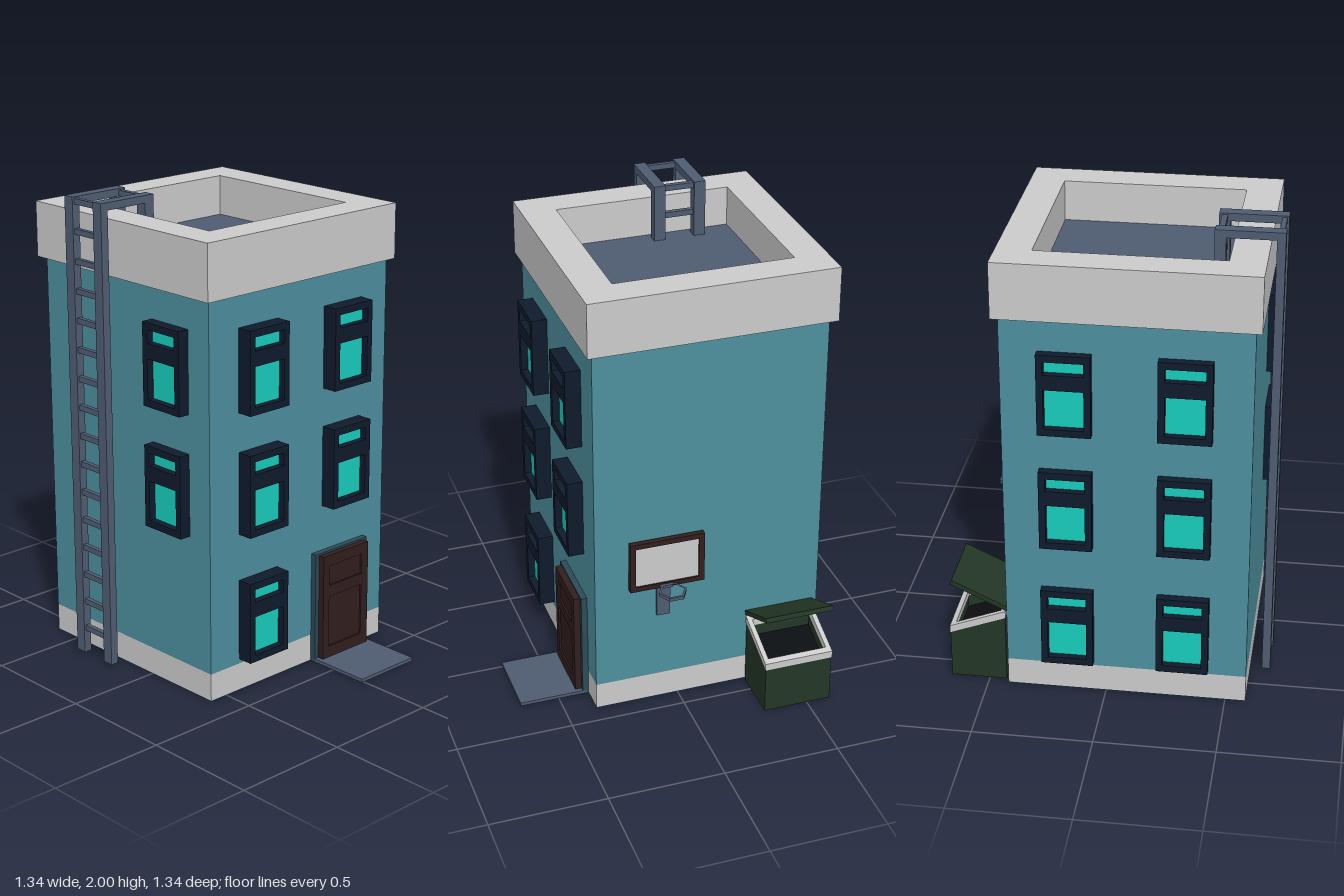
import * as THREE from 'three';

const paint = (color, side = THREE.FrontSide) => new THREE.MeshStandardMaterial({ color, flatShading: true, side });
const mats = {
  grey: paint(0xcccccc), wall: paint(0x4d8f9e), slate: paint(0x4f5d72), navy: paint(0x0f1a2c),
  glass: paint(0x18cdbd), brown: paint(0x321e1e), jamb: paint(0x2b4a58), green: paint(0x233625), black: paint(0x0b0e10),
};

function add(parent, name, geometry, mat) {
  const mesh = new THREE.Mesh(geometry, mats[mat]);
  mesh.name = name;
  parent.add(mesh);
  return mesh;
}

function group(parent, name) {
  const g = new THREE.Group();
  g.name = name;
  parent.add(g);
  return g;
}

// Box given by its limits on each axis
function block(parent, name, mat, [x0, x1], [y0, y1], [z0, z1]) {
  const geo = new THREE.BoxGeometry(x1 - x0, y1 - y0, z1 - z0);
  geo.translate((x0 + x1) / 2, (y0 + y1) / 2, (z0 + z1) / 2);
  return add(parent, name, geo, mat);
}

const rect = (target, x0, x1, y0, y1) =>
  target.moveTo(x0, y0).lineTo(x1, y0).lineTo(x1, y1).lineTo(x0, y1).closePath();

// Flat panel with rectangular holes, extruded from z = 0 to z = depth
function frame(outer, holes, depth) {
  const shape = rect(new THREE.Shape(), ...outer);
  holes.forEach((h) => shape.holes.push(rect(new THREE.Path(), ...h)));
  return new THREE.ExtrudeGeometry(shape, { depth, bevelEnabled: false });
}

// Side profile in x/y, extruded between two z limits
function profile(points, z0, z1) {
  const shape = new THREE.Shape(points.map(([x, y]) => new THREE.Vector2(x, y)));
  return new THREE.ExtrudeGeometry(shape, { depth: z1 - z0, bevelEnabled: false }).translate(0, 0, z0);
}

// Window with two recessed panes, origin at its bottom centre on the wall
function addWindow(parent, x, y, z, turn, depth) {
  const w = group(parent, 'window');
  add(w, 'windowFrame', frame([-0.1075, 0.1075, 0, 0.35],
    [[-0.08, 0.08, 0.03, 0.2], [-0.08, 0.08, 0.265, 0.32]], depth), 'navy');
  block(w, 'windowPane', 'glass', [-0.09, 0.09], [0.02, 0.33], [0, depth - 0.03]);
  w.position.set(x, y, z);
  w.rotation.y = turn;
}

function addBuilding(root) {
  const b = group(root, 'building');
  const wx = [-0.585, 0.415], wz = [-0.632, 0.366];
  block(b, 'walls', 'wall', wx, [0.12, 1.7], wz);
  block(b, 'plinth', 'grey', wx, [0.003, 0.12], wz);
  block(b, 'underside', 'wall', wx, [0, 0.003], wz);
  const parapet = frame([-0.61, 0.44, -0.39, 0.662], [[-0.465, 0.295, -0.242, 0.52]], 0.235);
  add(b, 'parapet', parapet.rotateX(-Math.PI / 2).translate(0, 1.692, 0), 'grey');
  block(b, 'roofFloor', 'slate', [-0.5, 0.33], [1.7, 1.755], [-0.55, 0.28]);

  // Windows: front skips the doorway, back has all six, right side has two
  [0.14, 0.69, 1.205].forEach((y, row) => {
    [-0.32, 0.157].forEach((x, col) => {
      if (row > 0 || col === 0) addWindow(b, x, y, 0.366, 0, 0.067);
      addWindow(b, x, y, -0.632, Math.PI, 0.038);
    });
    if (row > 0) addWindow(b, -0.585, y, 0.138, -Math.PI / 2, 0.05);
  });
}

function addDoor(root) {
  const d = group(root, 'entrance');
  block(d, 'doorFrame', 'jamb', [-0.01, 0.3], [0.005, 0.49], [0.36, 0.392]);
  const leaf = frame([0.01, 0.28, 0.015, 0.482], [[0.045, 0.24, 0.065, 0.295], [0.045, 0.24, 0.345, 0.435]], 0.03);
  add(d, 'doorLeaf', leaf.translate(0, 0, 0.39), 'brown');
  block(d, 'doorPanels', 'brown', [0.03, 0.26], [0.05, 0.45], [0.385, 0.412]);
  block(d, 'doorstep', 'slate', [-0.01, 0.3], [0, 0.015], [0.366, 0.67]);
}

function addLadder(root) {
  const l = group(root, 'ladder');
  for (const z of [[-0.395, -0.345], [-0.217, -0.167]]) {
    block(l, 'ladderRail', 'slate', [-0.67, -0.635], [0.01, 1.97], z);
    block(l, 'ladderTopBar', 'slate', [-0.67, -0.395], [1.968, 2], z);
    block(l, 'ladderRoofPost', 'slate', [-0.44, -0.395], [1.75, 1.97], z);
  }
  const rz = [-0.35, -0.21];
  for (let i = 0; i < 16; i++) {
    const y = 0.122 + i * 0.124;
    block(l, 'ladderRung', 'slate', [-0.662, -0.642], [y - 0.012, y + 0.012], rz);
  }
  for (const y of [1.86, 1.982]) block(l, 'roofRung', 'slate', [-0.43, -0.407], [y - 0.012, y + 0.012], rz);
}

function addHoop(root) {
  const h = group(root, 'basketballHoop');
  const board = frame([-0.225, 0.1, 0.585, 0.815], [[-0.2, 0.075, 0.607, 0.792]], 0.025);
  add(h, 'backboardFrame', board.rotateY(Math.PI / 2).translate(0.432, 0, 0), 'brown');
  block(h, 'backboard', 'grey', [0.434, 0.45], [0.6, 0.8], [-0.08, 0.205]);
  block(h, 'bracket', 'slate', [0.413, 0.432], [0.43, 0.655], [0.042, 0.1]);
  block(h, 'hoopArm', 'slate', [0.425, 0.466], [0.585, 0.6], [0.042, 0.1]);
  // Six-sided ring with corners towards front and back
  const hexagon = (target, r) => target.setFromPoints(Array.from({ length: 6 }, (_, i) =>
    new THREE.Vector2(Math.sin(i * Math.PI / 3) * r, Math.cos(i * Math.PI / 3) * r)));
  const ring = hexagon(new THREE.Shape(), 0.061);
  ring.holes.push(hexagon(new THREE.Path(), 0.05));
  const ringGeo = new THREE.ExtrudeGeometry(ring, { depth: 0.015, bevelEnabled: false });
  add(h, 'hoopRing', ringGeo.rotateX(-Math.PI / 2).translate(0.514, 0.585, 0.06), 'slate');
}

function addDumpster(root) {
  const d = group(root, 'dumpster');
  const x0 = 0.428, x1 = 0.663, z0 = -0.605, z1 = -0.307, slope = -0.383;
  const top = (x) => 0.307 + slope * (x - x0);
  const prism = (a, b, drop, za, zb) => profile([[a, 0], [b, 0], [b, top(b) - drop], [a, top(a) - drop]], za, zb);
  // Four walls around a dark, sunken filling
  const t = 0.016;
  add(d, 'binSide', prism(x0, x1, 0, z0, z0 + t), 'green');
  add(d, 'binSide', prism(x0, x1, 0, z1 - t, z1), 'green');
  add(d, 'binBack', prism(x0, x0 + t, 0, z0 + t, z1 - t), 'green');
  add(d, 'binFront', prism(x1 - t, x1, 0, z0 + t, z1 - t), 'green');
  add(d, 'binInside', prism(x0 + t, x1 - t, 0.06, z0 + t, z1 - t), 'black');
  block(d, 'binBottom', 'green', [x0, x1], [0, 0.005], [z0, z1]);
  // Rim sheared to follow the sloping top
  const rim = frame([0, x1 - x0 + 0.004, -z1 - 0.003, -z0 + 0.003], [[0.022, x1 - x0 - 0.02, -z1 + 0.018, -z0 - 0.018]], 0.032);
  rim.rotateX(-Math.PI / 2).applyMatrix4(new THREE.Matrix4().makeShear(slope, 0, 0, 0, 0, 0));
  add(d, 'binRim', rim.translate(x0 - 0.002, 0.303, 0), 'grey');
  add(d, 'binLid', profile([[0.422, 0.338], [0.658, 0.449], [0.65, 0.468], [0.414, 0.356]], z0 - 0.003, z1 + 0.003), 'green');
}

export function createModel() {
  const root = new THREE.Group();
  root.name = 'apartmentBlock';
  addBuilding(root);
  addDoor(root);
  addLadder(root);
  addHoop(root);
  addDumpster(root);
  return root;
}
